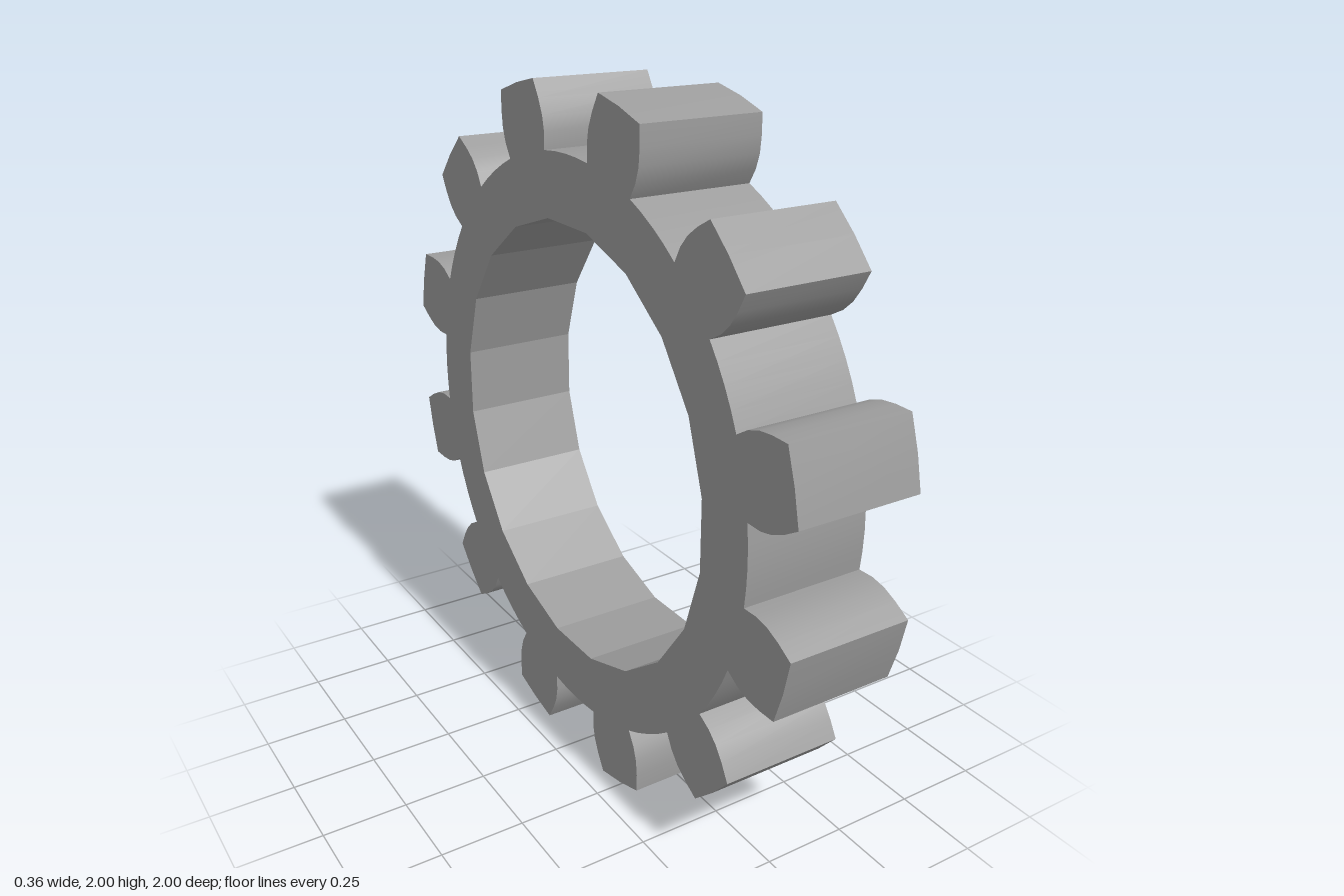
import * as THREE from 'three';
import { toCreasedNormals } from 'three/addons/utils/BufferGeometryUtils.js';

const TEETH = 12;
const WIDTH = 0.36;
const HOLE_RADIUS = 0.648;
const HOLE_SIDES = 20;

// Half a tooth, from root to tip: [degrees off the tooth axis, radius]
const FLANK = [[7.2, 0.828], [7.7, 0.875], [7.5, 0.918], [6.7, 0.963], [5.5, 1.0139]];
const GAP = [11, 15, 19]; // root arc between two teeth
const ROOT_RADIUS = 0.828;

function polar(degrees, radius) {
  const a = THREE.MathUtils.degToRad(degrees);
  return new THREE.Vector2(Math.cos(a) * radius, Math.sin(a) * radius);
}

function gearShape() {
  const points = [];
  const step = 360 / TEETH;
  for (let i = 0; i < TEETH; i++) {
    const axis = (i + 0.5) * step;
    for (const [a, r] of FLANK) points.push(polar(axis - a, r));
    points.push(polar(axis, 1.0139));
    for (const [a, r] of [...FLANK].reverse()) points.push(polar(axis + a, r));
    for (const a of GAP) points.push(polar(axis + a, ROOT_RADIUS));
  }
  const shape = new THREE.Shape(points);

  // Faceted bore, with flats at the top, bottom and sides
  const bore = [];
  for (let i = 0; i < HOLE_SIDES; i++) {
    bore.push(polar(-(i + 0.5) * 360 / HOLE_SIDES, HOLE_RADIUS));
  }
  shape.holes.push(new THREE.Path(bore));
  return shape;
}

export function createModel() {
  const group = new THREE.Group();
  group.name = 'gearRing';

  // Toothed ring, standing upright with its axle along x
  const extruded = new THREE.ExtrudeGeometry(gearShape(), { depth: WIDTH, bevelEnabled: false });
  extruded.translate(0, 0, -WIDTH / 2);
  extruded.rotateY(Math.PI / 2);
  const gear = new THREE.Mesh(
    toCreasedNormals(extruded, THREE.MathUtils.degToRad(16)),
    new THREE.MeshStandardMaterial({ color: 0x9c9c9c }),
  );
  gear.name = 'toothedRing';
  gear.position.y = 1;
  group.add(gear);

  return group;
}
